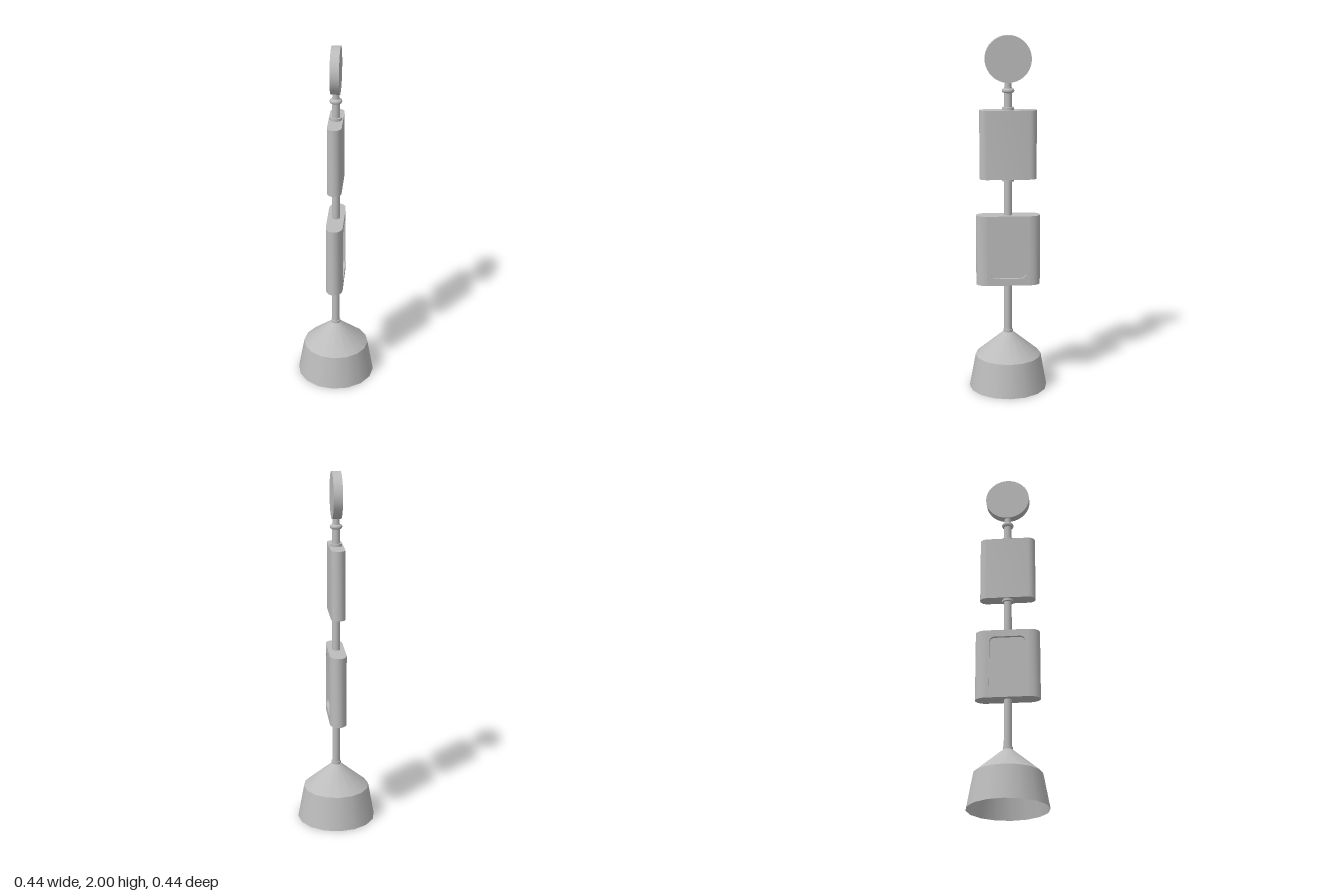
import * as THREE from 'three';
import { toCreasedNormals } from 'three/addons/utils/BufferGeometryUtils.js';

const grey = new THREE.MeshStandardMaterial({ color: 0xbcbcbc, side: THREE.DoubleSide });
grey.name = 'grey';

function add(group, name, geometry) {
  const mesh = new THREE.Mesh(geometry, grey);
  mesh.name = name;
  group.add(mesh);
  return mesh;
}

// Upright round section between two heights
function round(group, name, y0, y1, r0, r1 = r0, sides = 16, open = false) {
  const g = new THREE.CylinderGeometry(r1, r0, y1 - y0, sides, 1, open);
  return add(group, name, g.translate(0, (y0 + y1) / 2, 0));
}

// Upright slab with elliptical ends; notch sets back both flat sides
function slab(y0, y1, halfX, halfZ, flatZ, notch = 0) {
  const pts = [];
  for (const s of [1, -1]) {
    for (let i = 0; i <= 10; i++) {
      const a = (i / 10) * Math.PI;
      pts.push(new THREE.Vector2(s * halfX * Math.cos(a), s * (flatZ + (halfZ - flatZ) * Math.sin(a))));
    }
    if (notch) {
      pts.push(new THREE.Vector2(-s * (halfX - notch), s * flatZ));
      pts.push(new THREE.Vector2(-s * (halfX - notch), -s * flatZ));
    }
  }
  const g = new THREE.ExtrudeGeometry(new THREE.Shape(pts), { depth: y1 - y0, bevelEnabled: false });
  g.rotateX(-Math.PI / 2).translate(0, y0, 0);
  return toCreasedNormals(g, 0.7);
}

// Rounded window outline
function roundedRect(x0, y0, x1, y1, r) {
  const p = new THREE.Path();
  p.moveTo(x0 + r, y0);
  p.lineTo(x1 - r, y0).absarc(x1 - r, y0 + r, r, -Math.PI / 2, 0, false);
  p.lineTo(x1, y1 - r).absarc(x1 - r, y1 - r, r, 0, Math.PI / 2, false);
  p.lineTo(x0 + r, y1).absarc(x0 + r, y1 - r, r, Math.PI / 2, Math.PI, false);
  p.lineTo(x0, y0 + r).absarc(x0 + r, y0 + r, r, Math.PI, Math.PI * 1.5, false);
  return p;
}

export function createModel() {
  const model = new THREE.Group();
  model.name = 'signalPost';

  // Hollow bell-shaped foot, open underneath
  round(model, 'baseSkirt', 0, 0.19, 0.222, 0.187, 16, true);
  round(model, 'baseShoulder', 0.19, 0.325, 0.187, 0.027, 16, true);
  round(model, 'baseCollar', 0.325, 0.34, 0.027);

  // Pole
  round(model, 'pole', 0.325, 1.72, 0.022);

  // Lower box with a recessed window on both broad sides
  const lower = new THREE.Group();
  lower.name = 'lowerBox';
  model.add(lower);
  const depth = 0.016, halfX = 0.047, flatZ = 0.12;
  add(lower, 'boxCore', slab(0.61, 1.01, halfX, 0.18, flatZ, depth));
  const face = new THREE.Shape();
  face.moveTo(-flatZ, 0.61).lineTo(flatZ, 0.61).lineTo(flatZ, 1.01).lineTo(-flatZ, 1.01).closePath();
  face.holes.push(roundedRect(-0.1, 0.65, 0.1, 0.97, 0.03));
  for (const start of [halfX - depth, -halfX]) {
    const g = new THREE.ExtrudeGeometry(face, { depth, bevelEnabled: false, curveSegments: 6 });
    add(lower, 'windowFrame', toCreasedNormals(g.rotateY(Math.PI / 2).translate(start, 0, 0), 0.7));
  }

  // Upper box with a collar above and below
  add(model, 'upperBox', slab(1.215, 1.597, 0.039, 0.158, 0.118));
  round(model, 'lowerCollar', 1.202, 1.217, 0.033);
  round(model, 'upperCollar', 1.595, 1.612, 0.033);

  // Neck ring and thin neck
  const profile = [[0.022, 1.69], [0.031, 1.694], [0.035, 1.703], [0.031, 1.712], [0.022, 1.716]];
  add(model, 'neckRing', new THREE.LatheGeometry(profile.map(([r, y]) => new THREE.Vector2(r, y)), 16));
  round(model, 'neck', 1.71, 1.77, 0.019);

  // Round disc on top, facing both sides
  const disc = new THREE.CylinderGeometry(0.127, 0.127, 0.049, 40);
  add(model, 'topDisc', disc.rotateZ(Math.PI / 2).translate(0, 1.873, 0));

  return model;
}
